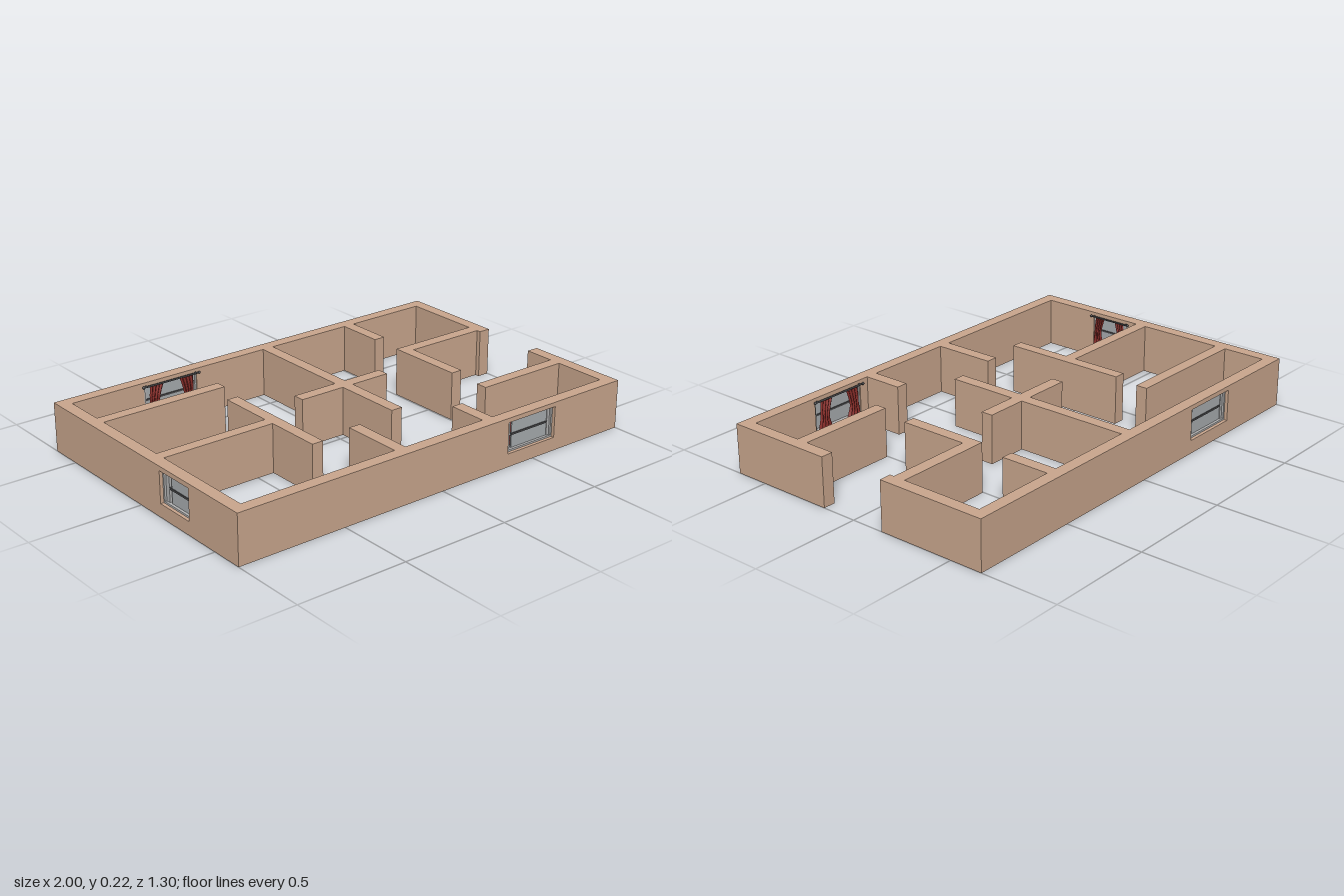
import * as THREE from 'three';

const H = 0.22, T = 0.055;           // wall height, outer wall thickness
const SILL = 0.06, HEAD = 0.2;       // window opening bottom and top

const mat = (color, extra = {}) => new THREE.MeshStandardMaterial({ color, ...extra });
const wallMat = mat(0xcaa78e);
const frameMat = mat(0xb4b4b4);
const glassMat = mat(0xa9adb0);
const darkMat = mat(0x4a4a4c);
const clothMat = mat(0x8c2f2b, { side: THREE.DoubleSide });

// Box given by its extents on each axis
function box(name, x0, x1, y0, y1, z0, z1, material) {
  const mesh = new THREE.Mesh(new THREE.BoxGeometry(x1 - x0, y1 - y0, z1 - z0), material);
  mesh.position.set((x0 + x1) / 2, (y0 + y1) / 2, (z0 + z1) / 2);
  mesh.name = name;
  return mesh;
}

// Pleated cloth, gathered at a tie and flaring to the hem
function curtain(width, side) {
  const geo = new THREE.PlaneGeometry(1, 1, 24, 12);
  const p = geo.attributes.position;
  for (let i = 0; i < p.count; i++) {
    const u = p.getX(i), t = 0.5 - p.getY(i);           // t: 0 at rod, 1 at hem
    const w = t < 0.45
      ? THREE.MathUtils.lerp(0.7, 0.5, t / 0.45)
      : THREE.MathUtils.lerp(0.5, 1, (t - 0.45) / 0.55);
    const pleat = Math.cos(u * Math.PI * 8) * (0.003 + 0.005 * t);
    p.setXYZ(i, u * w * width + side * 0.012 * Math.sin(t * Math.PI), 0.2 - t * 0.165, pleat);
  }
  geo.computeVertexNormals();
  const mesh = new THREE.Mesh(geo, clothMat);
  mesh.name = 'curtain';
  return mesh;
}

// Window with rod and curtains; outside faces +z, wall spans z -T..0
function windowUnit(width) {
  const g = new THREE.Group();
  g.name = 'window';
  const h = width / 2, f = 0.008, z0 = -T + 0.005, z1 = -0.015;
  const slit = -h + 0.03;
  g.add(
    box('frameBottom', -h, h, SILL, SILL + f, z0, z1, frameMat),
    box('frameTop', -h, h, HEAD - f, HEAD, z0, z1, frameMat),
    box('frameSide', -h, -h + f, SILL + f, HEAD - f, z0, z1, frameMat),
    box('frameSide', h - f, h, SILL + f, HEAD - f, z0, z1, frameMat),
    // fixed strip, open slit, then the sliding sash
    box('sashStile', -h + f, slit, SILL + f, HEAD - f, -0.036, -0.024, frameMat),
    box('sashStile', h - 0.022, h - f, SILL + f, HEAD - f, -0.036, -0.024, frameMat),
    box('pane', slit + 0.012, h - 0.022, SILL + f, HEAD - f, -0.033, -0.027, glassMat),
    box('middleRail', slit, h - 0.022, 0.126, 0.134, -0.037, -0.023, darkMat)
  );

  const zRod = -T - 0.01;
  const rod = new THREE.Mesh(new THREE.CylinderGeometry(0.004, 0.004, width + 0.015, 10), darkMat);
  rod.rotation.z = Math.PI / 2;
  rod.position.set(0, 0.203, zRod);
  rod.name = 'curtainRod';
  g.add(rod);
  for (const s of [-1, 1]) {
    const knob = new THREE.Mesh(new THREE.SphereGeometry(0.006, 10, 8), darkMat);
    knob.position.set(s * (h + 0.0075), 0.203, zRod);
    knob.name = 'rodEnd';
    const bracket = box('rodBracket', s * h * 0.94 - 0.003, s * h * 0.94 + 0.003, 0.2, 0.206, zRod, -T, darkMat);
    const cloth = curtain(width * 0.36, s);
    cloth.position.set(s * h * 0.56, 0, zRod - 0.001);
    g.add(knob, bracket, cloth);
  }
  return g;
}

// Outer wall with a window opening from a to b; outside faces +z
function windowWall(name, half, a, b) {
  const g = new THREE.Group();
  g.name = name;
  const shape = new THREE.Shape([[-half, 0], [half, 0], [half, H], [-half, H]].map(p => new THREE.Vector2(...p)));
  shape.holes.push(new THREE.Path([[a, SILL], [a, HEAD], [b, HEAD], [b, SILL]].map(p => new THREE.Vector2(...p))));
  const wall = new THREE.Mesh(new THREE.ExtrudeGeometry(shape, { depth: T, bevelEnabled: false }), wallMat);
  wall.position.z = -T;
  wall.name = 'wall';
  const win = windowUnit(b - a);
  win.position.x = (a + b) / 2;
  g.add(wall, win);
  return g;
}

export function createModel() {
  const model = new THREE.Group();
  model.name = 'floorPlan';

  // Outer walls with windows
  const front = windowWall('frontWall', 1, 0.355, 0.62);
  front.position.z = 0.65;
  const back = windowWall('backWall', 1, 0.325, 0.595);
  back.position.z = -0.65;
  back.rotation.y = Math.PI;
  const side = windowWall('sideWall', 0.65 - T, 0.14, 0.335);
  side.position.x = -1;
  side.rotation.y = -Math.PI / 2;
  model.add(front, back, side);

  // Entrance side, split by the doorway
  const e = 0.65 - T, i = 1 - T;
  model.add(
    box('entranceWall', i, 1, 0, H, -e, -0.15, wallMat),
    box('entranceWall', i, 1, 0, H, 0.16, e, wallMat)
  );

  // Partitions: x0, x1, z0, z1
  const partitions = [
    [-i, -0.35, -0.4, -0.347],
    [-0.423, -0.37, -0.225, 0.35],
    [-i, -0.423, 0.038, 0.09],
    [-0.21, -0.155, 0.315, e],
    [0.036, 0.09, -e, 0.29],
    [-0.18, 0.036, -0.082, -0.028],
    [0.09, 0.28, -0.082, -0.028],
    [0.504, 0.557, -e, -0.375],
    [0.504, i, -0.225, -0.17],
    [0.504, 0.557, -0.17, 0.143],
    [0.504, i, 0.3, 0.353],
    [0.257, 0.311, 0.415, e],
  ];
  for (const [x0, x1, z0, z1] of partitions) {
    model.add(box('partition', x0, x1, 0, H, z0, z1, wallMat));
  }
  return model;
}
